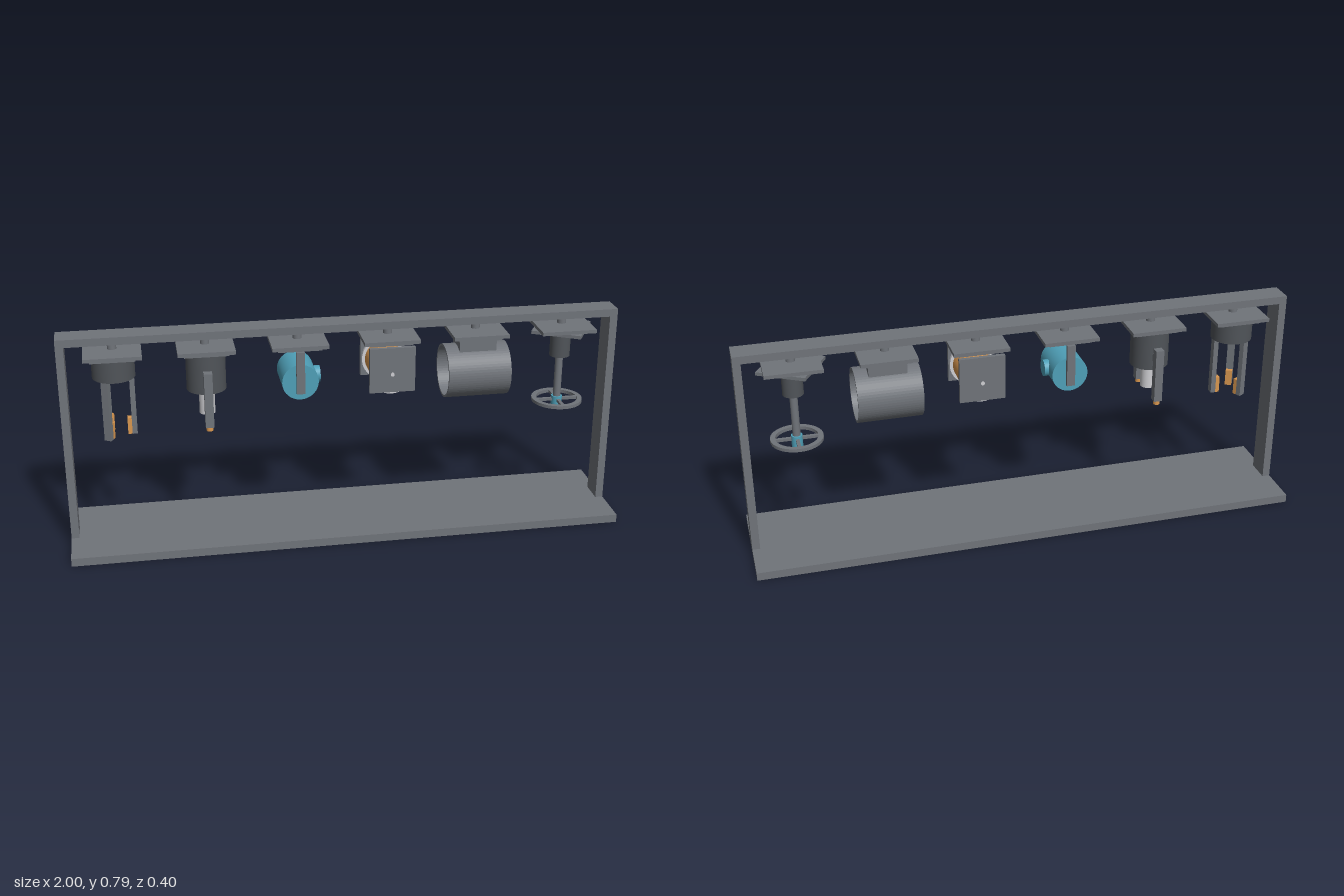
import * as THREE from 'three';

const mat = (name, color, side = THREE.FrontSide) => {
  const m = new THREE.MeshStandardMaterial({ color, side });
  m.name = name;
  return m;
};

export function createModel() {
  const steel = mat('steel grey', 0x70747a);
  const dark = mat('dark grey', 0x505459);
  const copper = mat('copper', 0xd9974f);
  const blue = mat('blue', 0x4fa0b8);
  const light = mat('light grey', 0xcfcfd3);

  const root = new THREE.Group();
  root.name = 'toolRack';

  const add = (parent, name, geo, material, x = 0, y = 0, z = 0) => {
    const m = new THREE.Mesh(geo, material);
    m.name = name;
    m.position.set(x, y, z);
    parent.add(m);
    return m;
  };
  // Box given by its size and its bottom and top heights
  const box = (p, name, material, w, d, y0, y1, x = 0, z = 0) =>
    add(p, name, new THREE.BoxGeometry(w, y1 - y0, d), material, x, (y0 + y1) / 2, z);
  // Upright cylinder between two heights
  const post = (p, name, material, r, y0, y1, x = 0, z = 0) =>
    add(p, name, new THREE.CylinderGeometry(r, r, y1 - y0, 40), material, x, (y0 + y1) / 2, z);
  // Flat ring extruded along z, centred
  const ringGeo = (ro, ri, h) => {
    const s = new THREE.Shape().absarc(0, 0, ro, 0, Math.PI * 2);
    s.holes.push(new THREE.Path().absarc(0, 0, ri, 0, Math.PI * 2, true));
    return new THREE.ExtrudeGeometry(s, { depth: h, bevelEnabled: false, curveSegments: 32 }).translate(0, 0, -h / 2);
  };

  // Frame
  box(root, 'base', steel, 2, 0.4, 0, 0.03);
  box(root, 'topBeam', steel, 2, 0.09, 0.757, 0.785);
  for (const s of [-1, 1]) box(root, 'framePost', steel, 0.028, 0.09, 0.03, 0.757, s * 0.986);

  // Hanger, mounting plate and adapter shared by every tool
  const tool = (name, x, turned = false) => {
    const g = new THREE.Group();
    g.name = name;
    g.position.x = x;
    root.add(g);
    post(g, 'hanger', steel, 0.016, 0.73, 0.758);
    box(g, 'mountPlate', steel, 0.2, 0.2, 0.717, 0.73);
    const w = turned ? 0.18 : 0.156;
    const a = box(g, 'adapterPlate', steel, w, w, 0.705, 0.717);
    if (turned) a.rotation.y = -Math.PI / 6;
    return g;
  };

  // Three-finger gripper
  const gripper = tool('threeFingerGripper', -0.81);
  post(gripper, 'gripperBody', dark, 0.075, 0.628, 0.705);
  for (let i = 0; i < 3; i++) {
    const f = new THREE.Group();
    f.name = 'finger';
    f.rotation.y = (i * Math.PI * 2) / 3;
    gripper.add(f);
    box(f, 'fingerBar', steel, 0.018, 0.026, 0.41, 0.63, 0.061);
    box(f, 'fingerPad', copper, 0.015, 0.024, 0.41, 0.47, 0.0445);
  }

  // Twin-rod tool
  const rods = tool('twinRodTool', -0.49);
  post(rods, 'rodBody', dark, 0.07, 0.563, 0.705);
  post(rods, 'nozzle', light, 0.028, 0.47, 0.563);
  for (const s of [-1, 1]) {
    box(rods, 'sideBar', steel, 0.03, 0.03, 0.455, 0.655, 0, s * 0.097);
    box(rods, 'bracket', steel, 0.024, 0.03, 0.6, 0.63, 0, s * 0.075);
    post(rods, 'sideTip', copper, 0.012, 0.44, 0.455, 0, s * 0.097);
  }

  // Fork holding a blue drum with a side nozzle
  const drum = tool('forkedDrum', -0.165);
  add(drum, 'drum', new THREE.CylinderGeometry(0.065, 0.065, 0.15, 48).rotateX(Math.PI / 2), blue, 0, 0.59, 0);
  add(drum, 'drumNozzle', new THREE.CylinderGeometry(0.03, 0.03, 0.05, 32).rotateZ(Math.PI / 2), blue, 0.054, 0.59, 0);
  for (const s of [-1, 1]) box(drum, 'forkArm', steel, 0.03, 0.014, 0.55, 0.705, 0, s * 0.082);

  // Copper spool between two plates
  const spool = tool('spoolTool', 0.16);
  add(spool, 'winding', new THREE.CylinderGeometry(0.068, 0.068, 0.14, 48).rotateX(Math.PI / 2), copper, 0, 0.607, 0);
  add(spool, 'axle', new THREE.CylinderGeometry(0.007, 0.007, 0.202, 20).rotateX(Math.PI / 2), light, 0, 0.607, 0);
  for (const s of [-1, 1]) {
    add(spool, 'flange', new THREE.CylinderGeometry(0.079, 0.079, 0.012, 48).rotateX(Math.PI / 2), light, 0, 0.607, s * 0.076);
    box(spool, 'sidePlate', steel, 0.164, 0.015, 0.54, 0.705, 0, s * 0.091);
  }

  // Open sideways tube with a light disc inside
  const tube = tool('tubeTool', 0.482);
  box(tube, 'tubeNeck', steel, 0.136, 0.1, 0.655, 0.705);
  add(tube, 'tubeShell', ringGeo(0.098, 0.09, 0.23).rotateY(Math.PI / 2), steel, 0, 0.572, 0);
  add(tube, 'innerDisc', new THREE.CylinderGeometry(0.09, 0.09, 0.012, 48).rotateZ(Math.PI / 2), light, 0, 0.572, 0);

  // Handwheel on a rod
  const wheel = tool('handwheelTool', 0.805, true);
  post(wheel, 'wheelSocket', dark, 0.037, 0.605, 0.705);
  post(wheel, 'wheelRod', steel, 0.014, 0.43, 0.605);
  post(wheel, 'wheelHub', blue, 0.02, 0.4, 0.445);
  add(wheel, 'wheelRim', ringGeo(0.093, 0.075, 0.012).rotateX(Math.PI / 2), steel, 0, 0.432, 0);
  for (let i = 0; i < 2; i++) {
    box(wheel, 'wheelSpoke', steel, 0.156, 0.012, 0.427, 0.437).rotation.y = (i * Math.PI) / 2;
  }

  return root;
}
